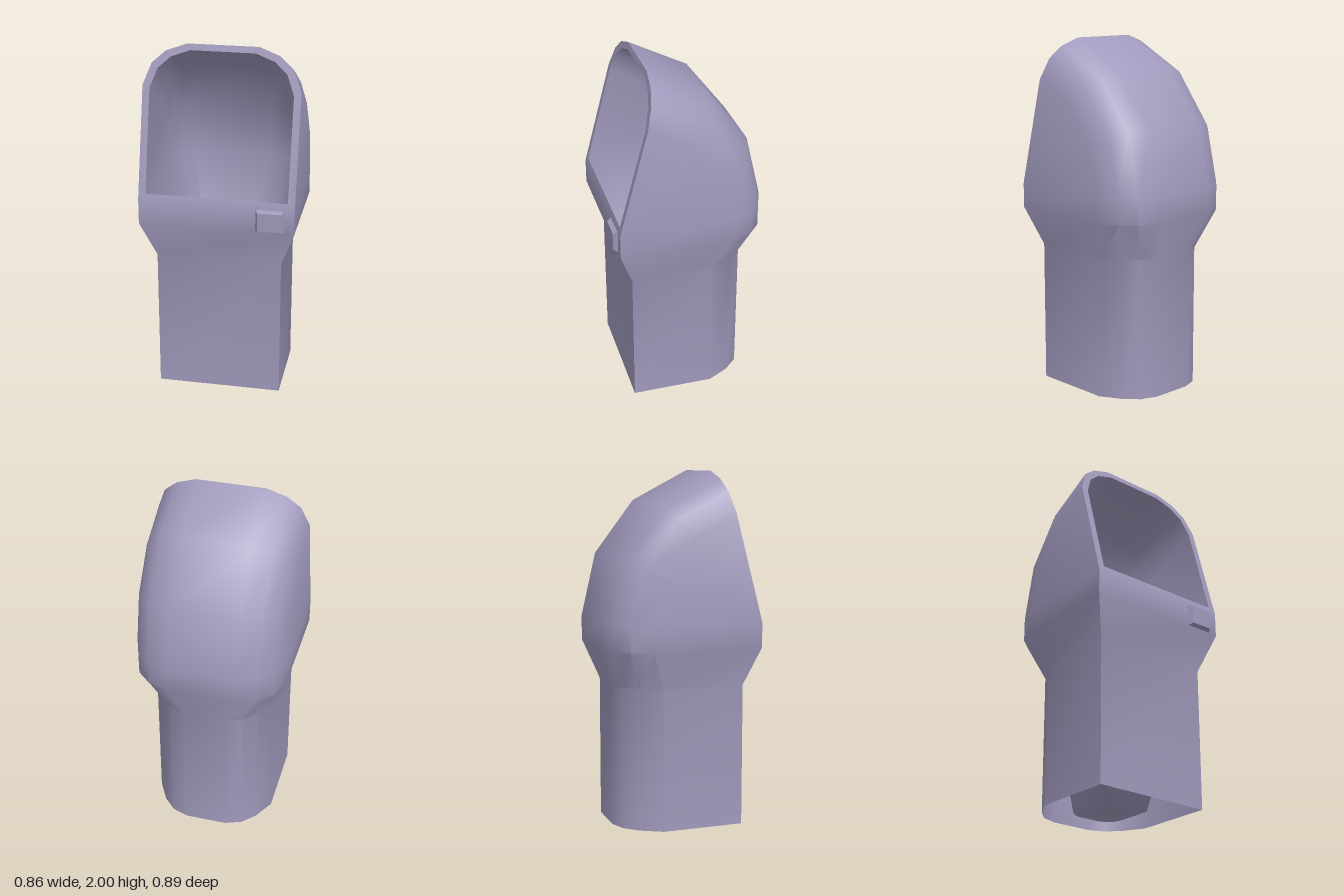
import * as THREE from 'three';
import { toCreasedNormals } from 'three/addons/utils/BufferGeometryUtils.js';

const material = new THREE.MeshStandardMaterial({ color: 0xa099bc, side: THREE.DoubleSide });

// U-shaped sections: straight front edge, rounded back corners.
// [share of half width, share of the way from front edge to back edge]
const mirrored = (half) => [...half, ...half.slice().reverse().map(([x, t]) => [-x, t])];
const HOOD = mirrored([[1, 0], [1, 0.73], [0.895, 0.87], [0.72, 0.95], [0.453, 1]]);
const BASE = mirrored([[1, 0], [1, 0.67], [0.81, 0.845], [0.61, 0.95], [0.34, 1]]);

// A section of half width w, spanning from front (z, y) to back (z, y)
function ring(w, [fz, fy], [bz, by], section = HOOD) {
  return section.map(([x, t]) => new THREE.Vector3(x * w, fy + (by - fy) * t, fz + (bz - fz) * t));
}

// Skin a list of sections, leaving out collapsed triangles
function loft(name, rings, crease) {
  const pos = [];
  const tri = (a, b, c) => {
    if (new THREE.Triangle(a, b, c).getArea() < 1e-6) return;
    for (const p of [a, b, c]) pos.push(p.x, p.y, p.z);
  };
  for (let i = 0; i < rings.length - 1; i++) {
    const lo = rings[i], hi = rings[i + 1], n = lo.length;
    for (let j = 0; j < n; j++) {
      const k = (j + 1) % n;
      tri(lo[j], lo[k], hi[k]);
      tri(lo[j], hi[k], hi[j]);
    }
  }
  const geo = new THREE.BufferGeometry();
  geo.setAttribute('position', new THREE.Float32BufferAttribute(pos, 3));
  const mesh = new THREE.Mesh(toCreasedNormals(geo, crease), material);
  mesh.name = name;
  return mesh;
}

export function createModel() {
  const group = new THREE.Group();
  group.name = 'hoodedPedestal';

  // Outer shell: open-bottomed base, flare, hood fanning about the sill, flat rim
  const sill = [0.42, 1.17];
  const innerSill = [0.411, 1.205];
  const mouth = ring(0.393, innerSill, [0.209, 1.966]);
  group.add(loft('shell', [
    ring(0.352, [0.34, 0], [-0.36, 0], BASE),
    ring(0.352, [0.34, 0.81], [-0.36, 0.81], BASE),
    ring(0.432, [0.42, 1.03], [-0.444, 1.03]),
    ring(0.432, sill, [-0.444, 1.17]),
    ring(0.432, sill, [-0.36, 1.53]),
    ring(0.432, sill, [-0.13, 1.83]),
    ring(0.432, sill, [0.2, 2]),
    mouth,
  ], 0.62));

  // Lining: follows the hood inside, then tapers down the base to a closed end
  group.add(loft('lining', [
    mouth,
    ring(0.393, innerSill, [-0.11, 1.79]),
    ring(0.393, innerSill, [-0.32, 1.51]),
    ring(0.393, innerSill, [-0.39, 1.19]),
    ring(0.155, [0.11, 0.005], [-0.2, 0.005]),
    ring(0, [-0.045, 0.005], [-0.045, 0.005]),
  ], 1.45));

  // Button with bevelled sides
  const geo = new THREE.BoxGeometry(0.162, 0.13, 0.03);
  const p = geo.attributes.position;
  for (let i = 0; i < p.count; i++) {
    if (p.getZ(i) > 0) p.setXY(i, p.getX(i) * 0.8, p.getY(i) * 0.8);
  }
  geo.computeVertexNormals();
  const button = new THREE.Mesh(geo, material);
  button.name = 'button';
  button.position.set(0.297, 1.1, 0.43);
  group.add(button);

  return group;
}
